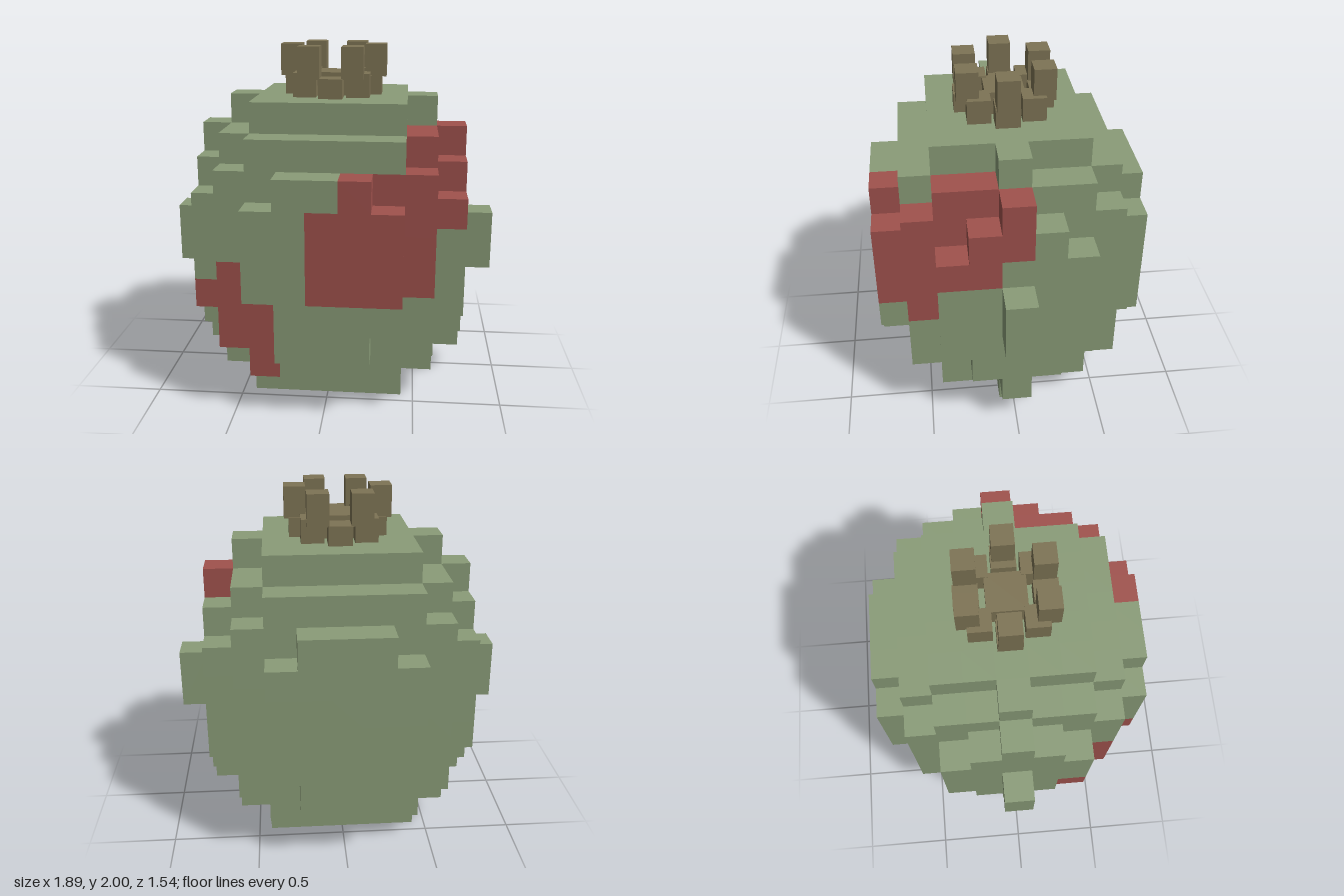
import * as THREE from 'three';

const U = 0.1715; // edge of one block

// Blocks are indexed by x, z (centred on 0) and layer y (0 to 9).
function isSolid(x, y, z) {
  const ax = Math.abs(x), az = Math.abs(z);
  const k = Math.min(y, 9 - y); // layers mirror top to bottom
  if (k < 0) return false;
  // half depth in blocks of each column |x| = 0..4, for layers counted from either end
  const depth = [
    [2, 2, 2, 0, -1],
    [3, 3, 3, 2, 0],
    [4, 4, 3, 3, 1],
    [4, 4, 4, 3, 2],
    [4, 4, 4, 3, 2],
  ][k];
  return ax <= 4 && az <= depth[ax];
}

function isRed(x, y, z) {
  // large patch: lowest x and z per layer
  const large = { 4: [0, 3], 5: [0, 3], 6: [0, 1], 7: [1, 0], 8: [3, 0] }[y];
  if (large && x >= large[0] && z >= large[1]) return true;
  // small patch: range of x per layer
  const small = { 1: [-2, -2], 2: [-3, -2], 3: [-4, -2], 4: [-3, -3] }[y];
  return !!small && z >= 2 && x >= small[0] && x <= small[1];
}

// Outer faces of all blocks that pass the filter
function blockSurface(filter) {
  const pos = [], nor = [], idx = [];
  const dirs = [[1, 0, 0], [-1, 0, 0], [0, 1, 0], [0, -1, 0], [0, 0, 1], [0, 0, -1]];
  for (let y = 0; y < 10; y++) for (let x = -4; x <= 4; x++) for (let z = -4; z <= 4; z++) {
    if (!isSolid(x, y, z) || !filter(x, y, z)) continue;
    for (const d of dirs) {
      if (isSolid(x + d[0], y + d[1], z + d[2])) continue;
      const n = new THREE.Vector3(...d);
      const a = new THREE.Vector3(d[1], d[2], d[0]);
      const b = n.clone().cross(a);
      const c = new THREE.Vector3(x, y + 0.5, z).addScaledVector(n, 0.5);
      const first = pos.length / 3;
      for (const [s, t] of [[-0.5, -0.5], [0.5, -0.5], [0.5, 0.5], [-0.5, 0.5]]) {
        const p = c.clone().addScaledVector(a, s).addScaledVector(b, t).multiplyScalar(U);
        pos.push(p.x, p.y, p.z);
        nor.push(...d);
      }
      idx.push(first, first + 1, first + 2, first, first + 2, first + 3);
    }
  }
  const g = new THREE.BufferGeometry();
  g.setAttribute('position', new THREE.Float32BufferAttribute(pos, 3));
  g.setAttribute('normal', new THREE.Float32BufferAttribute(nor, 3));
  g.setIndex(idx);
  return g;
}

export function createModel() {
  const group = new THREE.Group();
  const material = (name, color) => {
    const m = new THREE.MeshStandardMaterial({ color });
    m.name = name;
    return m;
  };
  const green = material('green', 0x8a9c78);
  const red = material('red', 0xa0524d);
  const brown = material('brown', 0x7e7455);

  const add = (name, geometry, mat, parent = group) => {
    const mesh = new THREE.Mesh(geometry, mat);
    mesh.name = name;
    parent.add(mesh);
    return mesh;
  };

  // Round body and its red patches
  add('body', blockSurface((x, y, z) => !isRed(x, y, z)), green);
  add('redPatches', blockSurface(isRed), red);

  // Side knobs
  for (const s of [1, -1]) {
    add(s > 0 ? 'leftKnob' : 'rightKnob', new THREE.BoxGeometry(U, 2 * U, U), green)
      .position.set(s * 5 * U, 5 * U, 0);
  }

  // Crown of small brown blocks
  const crown = new THREE.Group();
  crown.name = 'crown';
  group.add(crown);
  const block = (name, x, z, w, d, y0, y1) =>
    add(name, new THREE.BoxGeometry(w, y1 - y0, d), brown, crown)
      .position.set(x, (y0 + y1) / 2, z);
  const base = 10 * U;
  block('crownCentre', 0, 0, 0.22, 0.22, base, 1.845);
  for (const s of [1, -1]) {
    block('crownSide', s * 0.21, 0, 0.135, 0.135, base, 1.825);
    block('crownEnd', 0, s * 0.21, 0.135, 0.135, base, 1.825);
    block('sideProng', s * 0.243, 0, 0.122, 0.122, 1.82, 2);
    for (const t of [1, -1]) {
      block('crownCorner', s * 0.15, t * 0.15, 0.13, 0.13, base, 1.85);
      block('cornerProng', s * 0.122, t * 0.208, 0.122, 0.122, 1.82, 2);
    }
  }
  return group;
}
